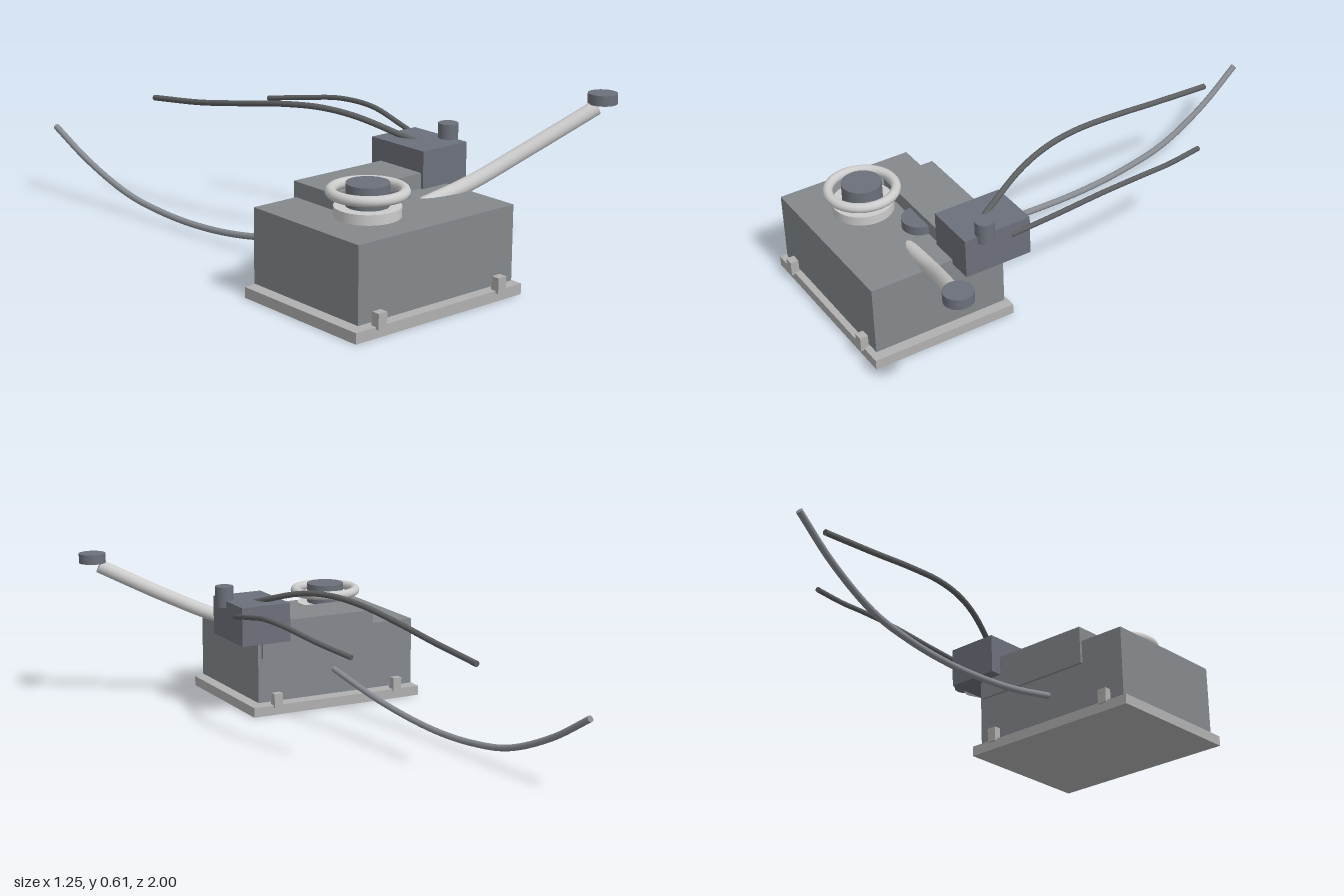
import * as THREE from 'three';

const mat = (color) => new THREE.MeshStandardMaterial({ color });

export function createModel() {
  const group = new THREE.Group();
  const light = mat(0xcccccc), plateGrey = mat(0xb0b0b0), bodyGrey = mat(0x84888c);
  const darkGrey = mat(0x6c707a), hoseGrey = mat(0x888c92), hoseDark = mat(0x5c5e60);

  const add = (name, geometry, material) => {
    const mesh = new THREE.Mesh(geometry, material);
    mesh.name = name;
    group.add(mesh);
    return mesh;
  };
  // Box given by its minimum and maximum corners
  const box = (name, [x0, y0, z0], [x1, y1, z1], material) =>
    add(name, new THREE.BoxGeometry(x1 - x0, y1 - y0, z1 - z0), material)
      .position.set((x0 + x1) / 2, (y0 + y1) / 2, (z0 + z1) / 2);
  // Upright cylinder from y0 to y1
  const disc = (name, x, z, r, y0, y1, material) =>
    add(name, new THREE.CylinderGeometry(r, r, y1 - y0, 40), material)
      .position.set(x, (y0 + y1) / 2, z);
  // Round bar along a smooth curve, closed at both ends
  const bar = (name, points, r, material) => {
    const curve = new THREE.CatmullRomCurve3(points.map((p) => new THREE.Vector3(...p)));
    add(name, new THREE.TubeGeometry(curve, 48, r, 16), material);
    for (const t of [0, 1]) {
      const cap = add(name + 'End', new THREE.CircleGeometry(r, 16), material);
      cap.position.copy(curve.getPoint(t));
      const out = curve.getTangent(t).multiplyScalar(t ? 1 : -1);
      cap.quaternion.setFromUnitVectors(new THREE.Vector3(0, 0, 1), out);
    }
  };

  // Base plate, housing and mounting clips
  box('basePlate', [-0.625, 0, 0.425], [0.108, 0.038, 0.987], plateGrey);
  box('housing', [-0.6, 0.05, 0.445], [0.08, 0.315, 0.968], bodyGrey);
  for (const x of [-0.523, 0.006])
    for (const z of [0.434, 0.982])
      box('mountingClip', [x - 0.018, 0.03, z - 0.017], [x + 0.018, 0.085, z + 0.017], plateGrey);

  // Rear block and head unit
  box('rearBlock', [-0.42, 0.225, 0.434], [0.065, 0.37, 0.638], bodyGrey);
  box('headUnit', [-0.03, 0.297, 0.387], [0.173, 0.447, 0.648], darkGrey);
  disc('headKnob', 0.165, 0.564, 0.035, 0.42, 0.5, darkGrey);
  disc('topBoss', -0.165, 0.636, 0.066, 0.3, 0.35, darkGrey);

  // Hand wheel on its collar, with the shaft end below the housing
  const wx = -0.372, wz = 0.752;
  disc('wheelCollar', wx, wz, 0.112, 0.31, 0.35, light);
  disc('wheelHub', wx, wz, 0.073, 0.34, 0.427, darkGrey);
  const rim = add('wheelRim', new THREE.TorusGeometry(0.122, 0.018, 16, 48), light);
  rim.rotation.x = Math.PI / 2;
  rim.position.set(wx, 0.398, wz);
  disc('shaftEnd', -0.357, wz, 0.034, 0.04, 0.06, darkGrey);

  // Lever with a flat knob
  bar('lever', [[-0.11, 0.287, 0.72], [0.1, 0.338, 0.748], [0.3, 0.428, 0.806], [0.547, 0.556, 0.897]], 0.027, light);
  disc('leverKnob', 0.571, 0.906, 0.052, 0.57, 0.607, darkGrey);

  // Hoses trailing to the back
  bar('lowerHose', [[-0.25, 0.15, 0.46], [-0.295, 0.085, 0.2], [-0.325, 0.053, 0], [-0.347, 0.04, -0.2],
    [-0.367, 0.048, -0.4], [-0.388, 0.08, -0.6], [-0.42, 0.17, -0.82], [-0.45, 0.277, -0.995]], 0.012, hoseGrey);
  bar('upperHose', [[0.065, 0.437, 0.51], [-0.025, 0.5, 0.3], [-0.075, 0.515, 0.16], [-0.122, 0.505, 0],
    [-0.163, 0.475, -0.2], [-0.19, 0.445, -0.4], [-0.213, 0.418, -0.66]], 0.011, hoseDark);
  bar('sideHose', [[0.17, 0.4, 0.46], [0.195, 0.433, 0.29], [0.213, 0.464, 0.11],
    [0.204, 0.464, -0.06], [0.173, 0.443, -0.21], [0.12, 0.417, -0.38]], 0.0095, hoseDark);

  return group;
}
